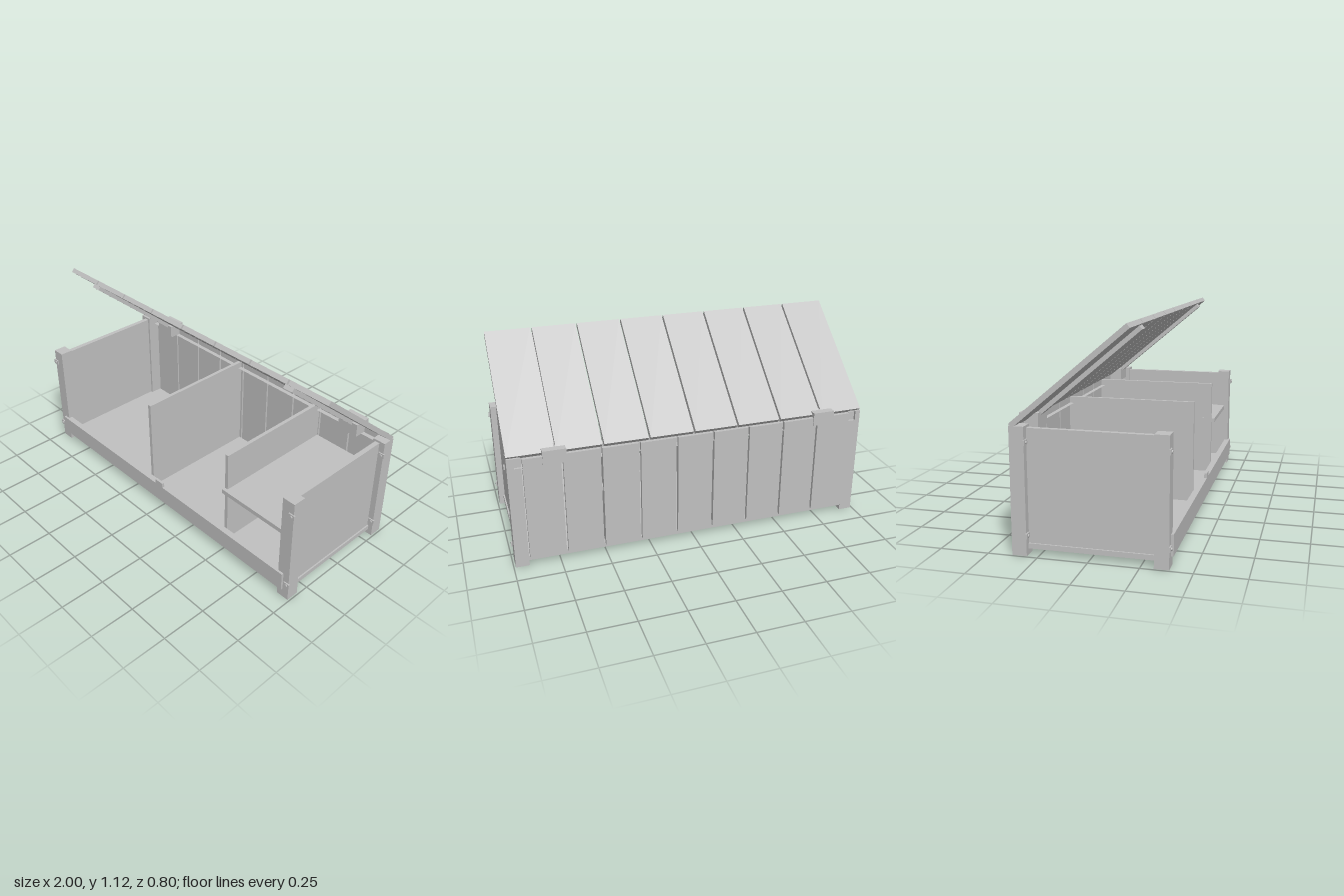
import * as THREE from 'three';

export function createModel() {
  const root = new THREE.Group();
  root.name = 'storageBox';
  const grey = new THREE.MeshStandardMaterial({ color: 0xc0c0c0 });
  grey.name = 'plain grey';

  // Box given by its min and max on each axis
  const box = (name, x0, x1, y0, y1, z0, z1, parent = root) => {
    const m = new THREE.Mesh(new THREE.BoxGeometry(x1 - x0, y1 - y0, z1 - z0), grey);
    m.name = name;
    m.position.set((x0 + x1) / 2, (y0 + y1) / 2, (z0 + z1) / 2);
    parent.add(m);
    return m;
  };
  const mirrored = (name, x0, x1, ...rest) => {
    box(name + 'Left', x0, x1, ...rest);
    box(name + 'Right', -x1, -x0, ...rest);
  };

  // Corner posts, side panels and floor
  mirrored('frontPost', 0.917, 0.99, 0, 0.632, 0.315, 0.387);
  mirrored('backPost', 0.917, 0.99, 0, 0.632, -0.38, -0.306);
  mirrored('sidePanel', 0.93, 0.957, 0.055, 0.62, -0.32, 0.33);
  box('floor', -0.965, 0.965, 0.03, 0.056, -0.379, 0.38);

  // Front board with its small catch, and the back top rail
  box('frontBoard', -0.953, 0.953, 0.054, 0.16, 0.366, 0.4);
  box('catch', -0.03, 0.03, 0.16, 0.188, 0.385, 0.4);
  box('backRail', -0.953, 0.953, 0.582, 0.636, -0.35, -0.393);

  // Back boards
  const pitch = 1.834 / 9;
  for (let i = 0; i < 9; i++) {
    const x = -0.917 + i * pitch;
    box('backBoard', x + 0.005, x + pitch - 0.005, 0.052, 0.63, -0.395, -0.375);
  }

  // Dividers and shelf
  box('middleDivider', -0.14, -0.12, 0.056, 0.618, -0.375, 0.34);
  box('sideDivider', 0.48, 0.5, 0.056, 0.618, -0.375, 0.34);
  box('shelf', 0.478, 0.93, 0.375, 0.4, -0.375, 0.36);

  // Small fixings on the front faces of the posts
  const headGeometry = new THREE.CylinderGeometry(0.008, 0.008, 0.008, 12).rotateX(Math.PI / 2);
  for (const s of [-1, 1]) for (const y of [0.1, 0.556]) for (const z of [0.387, -0.306]) {
    const fixing = new THREE.Group();
    fixing.name = 'fixing';
    fixing.position.set(s * 0.98, y, z);
    box('fixingPlate', -0.018, 0.018, -0.013, 0.013, -0.002, 0.007, fixing);
    const head = new THREE.Mesh(headGeometry, grey);
    head.name = 'fixingHead';
    head.position.z = 0.009;
    fixing.add(head);
    root.add(fixing);
  }

  // Hinge blocks
  mirrored('hinge', 0.69, 0.812, 0.585, 0.66, -0.4, -0.302);

  // Open lid: boards on two battens, tilted up from the back edge
  const lid = new THREE.Group();
  lid.name = 'lid';
  lid.position.set(0, 0.624, -0.362);
  lid.rotation.x = -40 * Math.PI / 180;
  for (let i = 0; i < 8; i++) {
    const x = -0.99 + i * 0.2475;
    box('lidBoard', x + (i ? 0.005 : 0), x + 0.2475 - (i < 7 ? 0.005 : 0), 0, 0.026, 0, 0.74, lid);
  }
  for (const s of [-1, 1]) box('lidBatten', s * 0.75 - 0.028, s * 0.75 + 0.028, -0.022, 0, 0.03, 0.725, lid);
  root.add(lid);

  return root;
}
